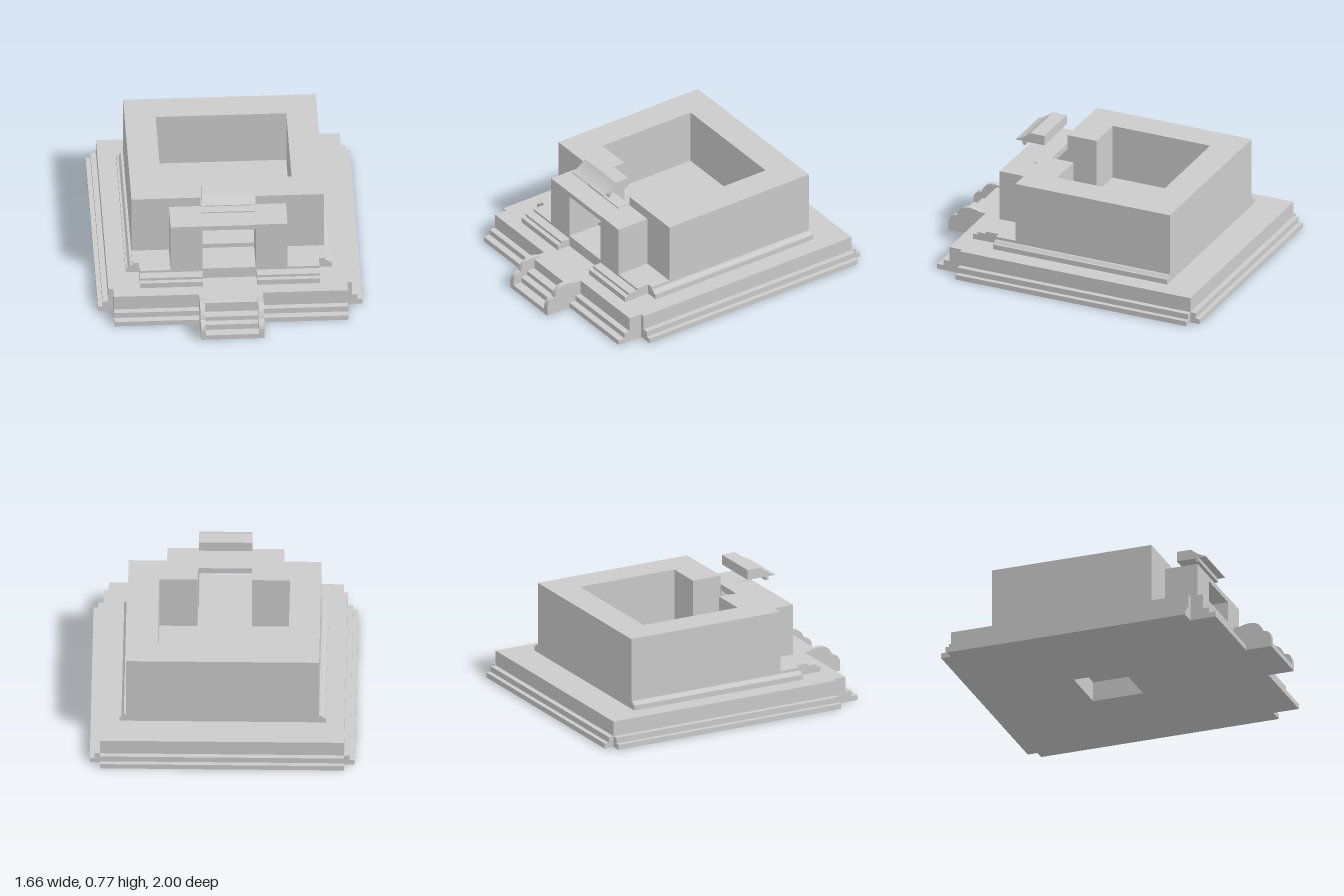
import * as THREE from 'three';

const grey = new THREE.MeshStandardMaterial({ color: 0xcccccc, flatShading: true, side: THREE.DoubleSide });

export function createModel() {
  const model = new THREE.Group();

  const add = (name, geometry) => {
    const mesh = new THREE.Mesh(geometry, grey);
    mesh.name = name;
    model.add(mesh);
    return mesh;
  };

  // Box given by its limits
  const box = (name, x0, x1, y0, y1, z0, z1) => {
    const g = new THREE.BoxGeometry(x1 - x0, y1 - y0, z1 - z0);
    g.translate((x0 + x1) / 2, (y0 + y1) / 2, (z0 + z1) / 2);
    return add(name, g);
  };

  // Symmetric plan outline (right half as [x, z] from back to front), raised from y0 to y1
  const plan = (name, half, y0, y1, hole) => {
    const left = half.map(([x, z]) => [-x, z]).reverse();
    const pts = [...half, ...left].map(([x, z]) => new THREE.Vector2(x, -z));
    const shape = new THREE.Shape(pts);
    if (hole) shape.holes.push(new THREE.Path(hole.map(([x, z]) => new THREE.Vector2(x, -z))));
    const g = new THREE.ExtrudeGeometry(shape, { depth: y1 - y0, bevelEnabled: false });
    g.rotateX(-Math.PI / 2).translate(0, y0, 0);
    return add(name, g);
  };

  // Side profile drawn in (z, y), spanning x0 to x1
  const profile = (name, shape, x0, x1) => {
    const g = new THREE.ExtrudeGeometry(shape, { depth: x1 - x0, bevelEnabled: false, curveSegments: 10 });
    g.rotateY(-Math.PI / 2).translate(x1, 0, 0);
    return add(name, g);
  };

  // Stepped base with notched corners and a shaft in its underside
  const shaft = [[-0.17, -0.335], [0.17, -0.335], [0.17, 0], [-0.17, 0]];
  const tiers = [
    [0, 0.033, 0.83, -1, 0.83],
    [0.033, 0.07, 0.80, -0.97, 0.785],
  ];
  for (const [y0, y1, side, back, front] of tiers) {
    plan('baseTier', [[0.765, back], [0.765, -0.935], [side, -0.935], [side, 0.66], [0.735, 0.66], [0.735, front]], y0, y1, shaft);
  }
  const terrace = [[0.765, -0.935], [0.765, 0.66], [0.735, 0.66], [0.735, 0.745]];
  plan('terraceLower', terrace, 0.07, 0.13, shaft);
  plan('terraceTop', terrace, 0.13, 0.167);

  // Front stairs
  const steps = [[1, 0, 0.033], [0.94, 0.033, 0.07], [0.895, 0.07, 0.1], [0.84, 0.1, 0.167]];
  for (const [z, y0, y1] of steps) box('frontStep', -0.17, 0.165, y0, y1, 0.7, z);

  // Curved stair cheeks
  const cheek = new THREE.Shape();
  cheek.moveTo(0.74, 0);
  cheek.lineTo(1, 0);
  cheek.lineTo(1, 0.06);
  cheek.quadraticCurveTo(0.995, 0.112, 0.945, 0.113);
  cheek.quadraticCurveTo(0.925, 0.18, 0.862, 0.182);
  cheek.quadraticCurveTo(0.82, 0.182, 0.785, 0.167);
  cheek.lineTo(0.74, 0.167);
  profile('stairCheekLeft', cheek, 0.165, 0.2);
  profile('stairCheekRight', cheek, -0.2, -0.17);

  // Mouldings along the flanks of the hall
  for (const s of [1, -1]) {
    const m = new THREE.Shape([[0.56, 0.167], [0.648, 0.167], [0.648, 0.2], [0.635, 0.2], [0.62, 0.217], [0.605, 0.217], [0.605, 0.235], [0.56, 0.235]]
      .map(([x, y]) => new THREE.Vector2(s * x, y)));
    const g = new THREE.ExtrudeGeometry(m, { depth: 1.205, bevelEnabled: false });
    add('flankMoulding', g.translate(0, 0, -0.72));
    // Stepped plinth each side of the entrance
    const [a, b] = s > 0 ? [0.17, 0.565] : [-0.565, -0.17];
    box('plinthLower', a, b, 0.167, 0.203, 0.3, 0.66);
    box('plinthMiddle', a, b, 0.203, 0.22, 0.3, 0.63);
    box('plinthUpper', a, b, 0.22, 0.235, 0.3, 0.57);
  }

  // Hall walls around a court, open at the entrance
  const wall = new THREE.Shape([[-0.17, 0.35], [-0.605, 0.35], [-0.605, -0.72], [0.605, -0.72], [0.605, 0.35], [0.17, 0.35],
    [0.17, 0.15], [0.41, 0.15], [0.41, -0.525], [-0.41, -0.525], [-0.41, 0.15], [-0.17, 0.15]]
    .map(([x, z]) => new THREE.Vector2(x, -z)));
  const wallGeometry = new THREE.ExtrudeGeometry(wall, { depth: 0.463, bevelEnabled: false });
  add('hallWalls', wallGeometry.rotateX(-Math.PI / 2).translate(0, 0.167, 0));
  box('courtFloor', -0.41, 0.41, 0.167, 0.27, -0.525, 0.15);
  box('passageFloor', -0.17, 0.17, 0.167, 0.27, 0.15, 0.35);

  // Porch
  box('porchFloor', -0.17, 0.17, 0.167, 0.24, 0.35, 0.57);
  box('porchPierLeft', 0.165, 0.365, 0.235, 0.568, 0.35, 0.57);
  box('porchPierRight', -0.37, -0.17, 0.235, 0.565, 0.35, 0.57);
  box('porchLintel', -0.17, 0.165, 0.533, 0.565, 0.35, 0.57);
  box('lintelCap', -0.17, 0.165, 0.565, 0.573, 0.35, 0.43);

  // Raised canopy with a curved front slope
  const canopy = new THREE.Shape();
  canopy.moveTo(0.355, 0.705);
  canopy.lineTo(0.55, 0.705);
  canopy.lineTo(0.55, 0.711);
  canopy.quadraticCurveTo(0.5, 0.725, 0.45, 0.77);
  canopy.lineTo(0.355, 0.77);
  profile('canopy', canopy, -0.17, 0.165);
  box('canopyRail', -0.17, 0.165, 0.68, 0.705, 0.483, 0.505);

  return model;
}
